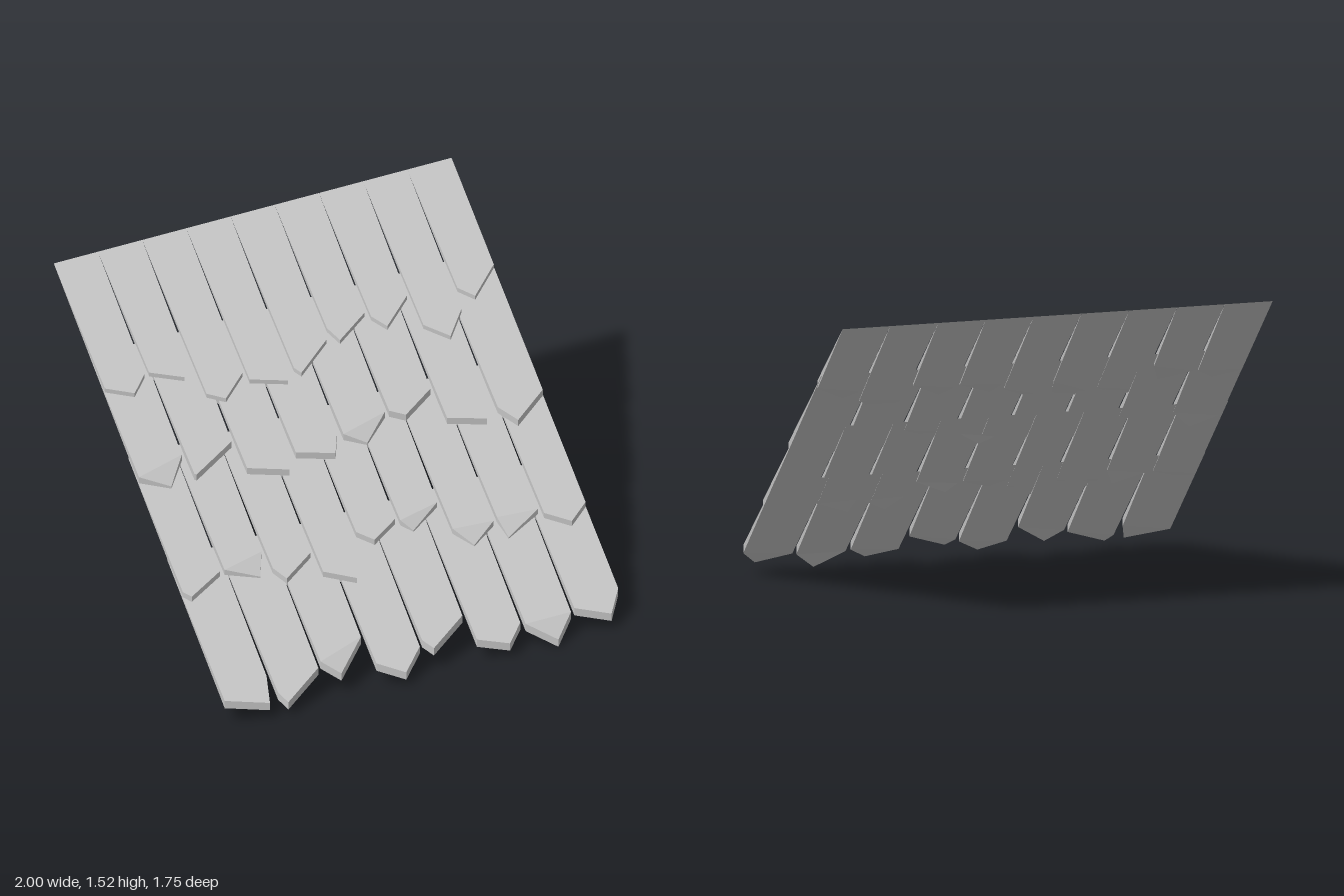
import * as THREE from 'three';

const SLOPE = 0.785; // fall of every course per unit of z
const DROP = 0.038; // thickness of a shingle at its lower end
const GAP = 0.011; // how far a shingle narrows on each side towards its end

// One shingle per entry: [z of left corner, x of tip, z of tip, z of right corner, bend of tip]
const firstCourse = [
  [-0.385, -0.87, -0.34, -0.4, 0], [-0.4, -0.615, -0.35, -0.46, 0], [-0.27, -0.465, -0.235, -0.31, 0],
  [-0.28, -0.15, -0.24, -0.38, 0], [-0.28, -0.075, -0.255, -0.35, 0], [-0.39, 0.16, -0.335, -0.41, 0],
  [-0.39, 0.4, -0.34, -0.43, 0], [-0.31, 0.67, -0.245, -0.33, 0], [-0.41, 0.855, -0.365, -0.46, 0],
];
const secondCourse = [
  [-0.05, -0.86, 0, -0.09, 0.02], [-0.01, -0.73, -0.005, -0.09, 0], [0.02, -0.3, 0.065, -0.02, 0],
  [0.01, -0.06, 0.05, -0.03, 0], [-0.01, 0.11, 0.03, -0.05, 0.02], [-0.05, 0.33, -0.02, -0.09, 0],
  [0.03, 0.69, 0.07, -0.03, 0], [0.04, 0.83, 0.105, 0.02, 0],
];
const thirdCourse = [
  [0.38, -0.965, 0.405, 0.34, 0], [0.34, -0.61, 0.385, 0.31, 0.02], [0.38, -0.5, 0.43, 0.36, 0],
  [0.44, -0.18, 0.495, 0.38, 0], [0.33, -0.03, 0.375, 0.32, 0], [0.33, 0.17, 0.365, 0.3, 0.02],
  [0.41, 0.42, 0.475, 0.42, 0.02], [0.41, 0.59, 0.48, 0.42, 0.02], [0.44, 0.9, 0.495, 0.44, 0],
];
const fourthCourse = [
  [0.79, -0.795, 0.84, 0.74, 0], [0.81, -0.71, 0.855, 0.76, 0], [0.74, -0.41, 0.79, 0.69, 0.018],
  [0.8, -0.12, 0.86, 0.78, 0], [0.76, 0.05, 0.8, 0.71, 0], [0.81, 0.405, 0.855, 0.79, 0],
  [0.8, 0.64, 0.87, 0.8, 0.025], [0.79, 0.92, 0.845, 0.76, 0],
];

// Wedge with a pointed end: no thickness at the top edge, full thickness at the tip
function shingleGeometry(x0, x1, zTop, yTop, [zLeft, xTip, zTip, zRight, bend]) {
  const point = (x, z, drop) => [x, yTop - SLOPE * (z - zTop) - drop, z];
  const inset = (x) => (Math.abs(x) > 0.999 ? 0.003 : GAP);
  const xl = x0 + inset(x0), xr = x1 - inset(x1);
  const points = [
    point(x0, zTop, 0), point(x1, zTop, 0), // 0, 1 top edge
    point(xl, zLeft, 0), point(xTip, zTip, bend), point(xr, zRight, 0), // 2-4 upper end
    point(xl, zLeft, DROP), point(xTip, zTip, DROP + bend), point(xr, zRight, DROP), // 5-7 lower end
  ];
  const geometry = new THREE.BufferGeometry();
  geometry.setAttribute('position', new THREE.Float32BufferAttribute(points.flat(), 3));
  geometry.setIndex([
    0, 2, 4, 0, 4, 1, 2, 3, 4, // upper face and tip
    0, 7, 5, 0, 1, 7, 5, 7, 6, // underside
    2, 5, 6, 2, 6, 3, 3, 6, 7, 3, 7, 4, // pointed end
    0, 5, 2, 1, 4, 7, // sides
  ]);
  const flat = geometry.toNonIndexed();
  flat.computeVertexNormals();
  return flat;
}

function buildCourse(name, shingles, zTop, yTop, material) {
  const course = new THREE.Group();
  course.name = name;
  const width = 2 / shingles.length;
  shingles.forEach((shape, i) => {
    const x0 = -1 + i * width;
    const mesh = new THREE.Mesh(shingleGeometry(x0, x0 + width, zTop, yTop, shape), material);
    mesh.name = 'shingle';
    course.add(mesh);
  });
  return course;
}

export function createModel() {
  const grey = new THREE.MeshStandardMaterial({ color: 0xc8c8c8, flatShading: true, side: THREE.DoubleSide });
  grey.name = 'light grey';

  // Overlapping courses from the ridge down to the eaves
  const roof = new THREE.Group();
  roof.name = 'shingleRoof';
  roof.add(
    buildCourse('firstCourse', firstCourse, -0.88, 1.525, grey),
    buildCourse('secondCourse', secondCourse, -0.53, 1.23, grey),
    buildCourse('thirdCourse', thirdCourse, -0.15, 0.9, grey),
    buildCourse('fourthCourse', fourthCourse, 0.23, 0.575, grey),
  );
  return roof;
}
